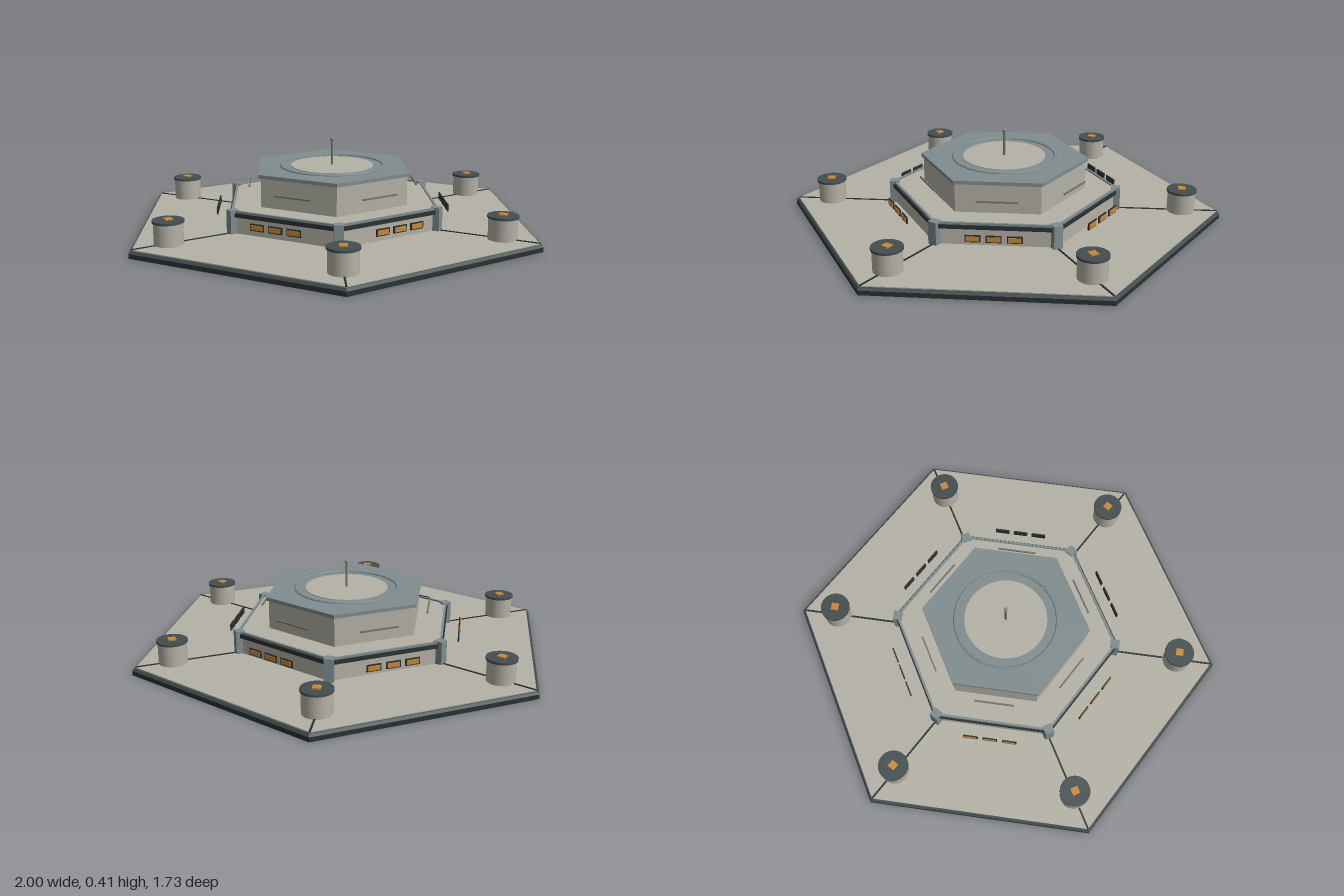
import * as THREE from 'three';

const mat = (name, color) => Object.assign(new THREE.MeshStandardMaterial({ color }), { name });
const concrete = mat('concrete', 0xb4b1a6);
const steel = mat('blue steel', 0x7f8c8e);
const dark = mat('dark slate', 0x434e50);
const hull = mat('hull black', 0x2b3133);
const amber = mat('amber light', 0xc88a35);
const slitGrey = mat('slit grey', 0x76766f);

const COS30 = Math.cos(Math.PI / 6);

function add(parent, name, geometry, material, x = 0, y = 0, z = 0) {
  const mesh = new THREE.Mesh(geometry, material);
  mesh.name = name;
  mesh.position.set(x, y, z);
  parent.add(mesh);
  return mesh;
}

// Crisp hexagonal slab with corners on the x axis, between heights y0 and y1
function hexSlab(parent, name, material, rBottom, rTop, y0, y1) {
  const g = new THREE.CylinderGeometry(rTop, rBottom, y1 - y0, 6).rotateY(Math.PI / 6).toNonIndexed();
  g.computeVertexNormals();
  return add(parent, name, g, material, 0, (y0 + y1) / 2, 0);
}

const box = (w, h, d) => new THREE.BoxGeometry(w, h, d);
const disc = (r, h, n = 32) => new THREE.CylinderGeometry(r, r, h, n);

// Things on a corner, built along +x
function buildCorner(k) {
  const g = new THREE.Group();
  g.name = 'corner' + k;
  g.rotation.y = k * Math.PI / 3;
  add(g, 'deckSeam', box(0.46, 0.004, 0.008), hull, 0.755, 0.036, 0);
  add(g, 'cornerPost', box(0.042, 0.107, 0.042), steel, 0.517, 0.0865, 0);
  const pod = new THREE.Group();
  pod.name = 'pod';
  pod.position.x = 0.82;
  add(pod, 'podBody', disc(0.063, 0.097), concrete, 0, 0.0825, 0);
  add(pod, 'podCap', disc(0.068, 0.01), dark, 0, 0.135, 0);
  add(pod, 'podLamp', box(0.034, 0.006, 0.034), amber, 0, 0.143, 0);
  g.add(pod);
  return g;
}

// Things on a flat side, built facing +z
function buildSide(k) {
  const g = new THREE.Group();
  g.name = 'side' + k;
  g.rotation.y = k * Math.PI / 3;
  add(g, 'wallBand', box(0.5, 0.018, 0.014), hull, 0, 0.119, 0.454);
  add(g, 'wallRail', box(0.5, 0.01, 0.01), steel, 0, 0.133, 0.45);
  for (const x of [-0.089, 0, 0.089]) {
    add(g, 'windowFrame', box(0.067, 0.031, 0.006), hull, x, 0.098, 0.524);
    add(g, 'windowPane', box(0.056, 0.021, 0.003), amber, x, 0.098, 0.5285);
  }
  add(g, 'ventSlit', box(0.18, 0.007, 0.007), slitGrey, 0, 0.204, 0.38);
  return g;
}

export function createModel() {
  const model = new THREE.Group();
  model.name = 'hexagonalStation';

  // Base plate
  hexSlab(model, 'baseHull', hull, 1, 1, 0, 0.02);
  hexSlab(model, 'baseTrim', dark, 1, 0.992, 0.02, 0.031);
  hexSlab(model, 'deck', concrete, 0.985, 0.985, 0.025, 0.035);

  // Two tiers and the roof
  hexSlab(model, 'lowerTier', concrete, 0.45 / COS30, 0.45 / COS30, 0.033, 0.131);
  hexSlab(model, 'upperTier', concrete, 0.376, 0.376, 0.13, 0.264);
  hexSlab(model, 'roof', steel, 0.387, 0.387, 0.263, 0.279);

  // Landing disc, ring and mast on the roof
  add(model, 'roofDisc', disc(0.19, 0.006, 48), concrete, 0, 0.279, 0);
  add(model, 'roofRing', new THREE.TorusGeometry(0.235, 0.006, 8, 64).rotateX(Math.PI / 2), steel, 0, 0.28, 0);
  add(model, 'mast', disc(0.005, 0.125, 10), slitGrey, 0, 0.342, 0);
  add(model, 'mastTip', new THREE.SphereGeometry(0.009, 12, 8), steel, 0, 0.402, 0);

  for (let k = 0; k < 6; k++) model.add(buildCorner(k), buildSide(k));
  return model;
}
